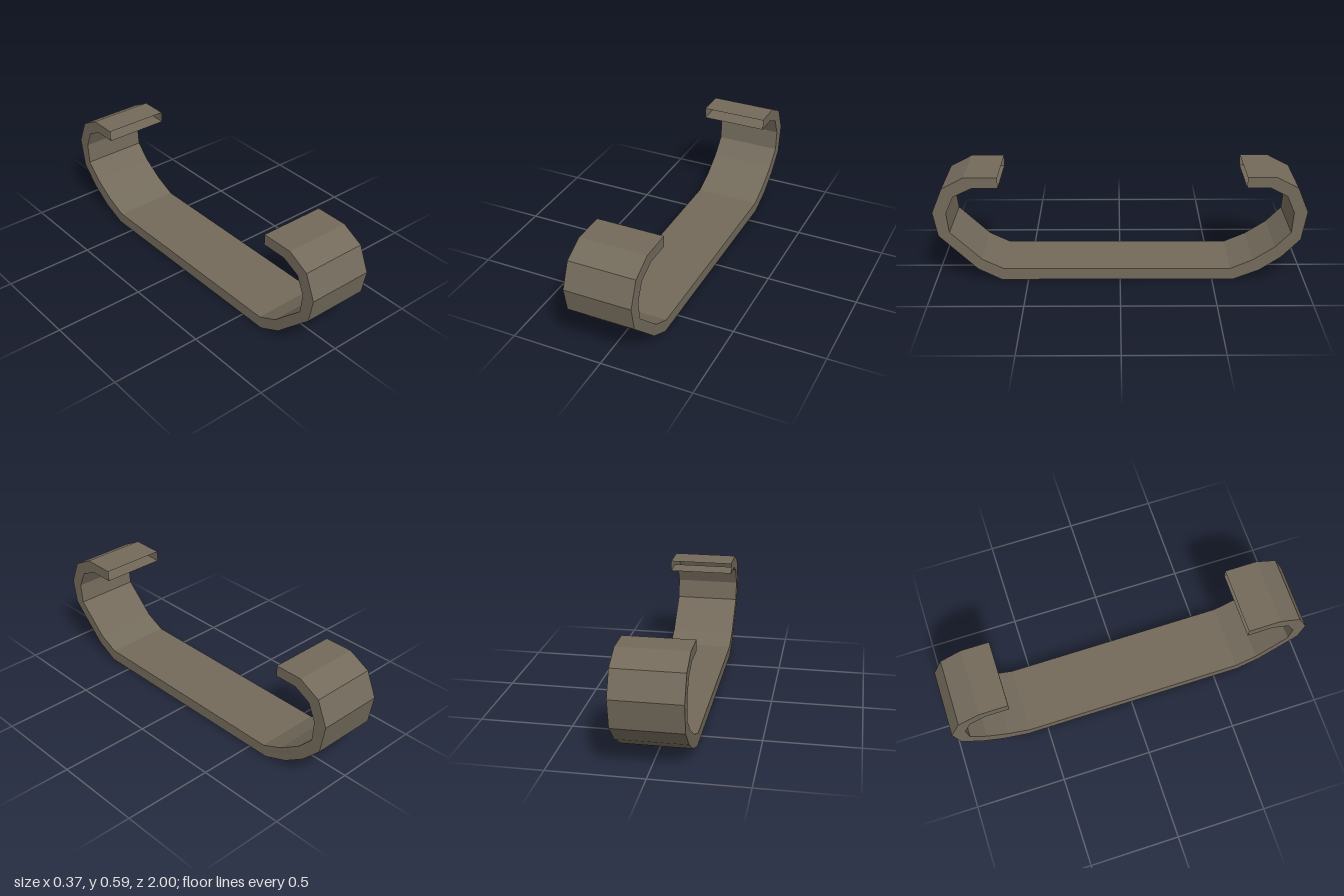
import * as THREE from 'three';

const HALF_WIDTH = 0.183;

// Side profile as [outer z, outer y, inner z, inner y], from front hook tip to back hook tip
const PROFILE = [
  [0.645, 0.59, 0.645, 0.53],
  [0.825, 0.59, 0.785, 0.53],
  [0.943, 0.528, 0.884, 0.483],
  [1.0, 0.393, 0.927, 0.388],
  [0.975, 0.26, 0.914, 0.28],
  [0.77, 0.063, 0.745, 0.12],
  [0.645, 0.0, 0.632, 0.065],
  [-0.62, 0.0, -0.6, 0.063],
  [-0.755, 0.053, -0.72, 0.115],
  [-0.87, 0.13, -0.835, 0.19],
  [-0.972, 0.235, -0.918, 0.275],
  [-1.0, 0.393, -0.927, 0.388],
  [-0.943, 0.528, -0.886, 0.483],
  [-0.825, 0.59, -0.795, 0.53],
  [-0.67, 0.59, -0.67, 0.53],
];

// Rectangular sections joined into a hollow strip; both hook tips stay open
function stripGeometry() {
  const positions = [];
  const rings = PROFILE.map(([oz, oy, iz, iy]) => [
    [-HALF_WIDTH, oy, oz],
    [HALF_WIDTH, oy, oz],
    [HALF_WIDTH, iy, iz],
    [-HALF_WIDTH, iy, iz],
  ]);
  for (let i = 0; i < rings.length - 1; i++) {
    for (let k = 0; k < 4; k++) {
      const n = (k + 1) % 4;
      const a = rings[i][k], b = rings[i + 1][k];
      const c = rings[i + 1][n], d = rings[i][n];
      for (const p of [a, b, c, a, c, d]) positions.push(...p);
    }
  }
  const geometry = new THREE.BufferGeometry();
  geometry.setAttribute('position', new THREE.Float32BufferAttribute(positions, 3));
  geometry.computeVertexNormals();
  return geometry;
}

export function createModel() {
  const group = new THREE.Group();
  group.name = 'doubleHookBracket';

  const metal = new THREE.MeshStandardMaterial({
    color: 0x736a5b,
    flatShading: true,
    side: THREE.DoubleSide,
  });
  metal.name = 'brown grey metal';

  // Flat base with an inward-curling hook at each end
  const strip = new THREE.Mesh(stripGeometry(), metal);
  strip.name = 'curledStrip';
  group.add(strip);
  return group;
}
